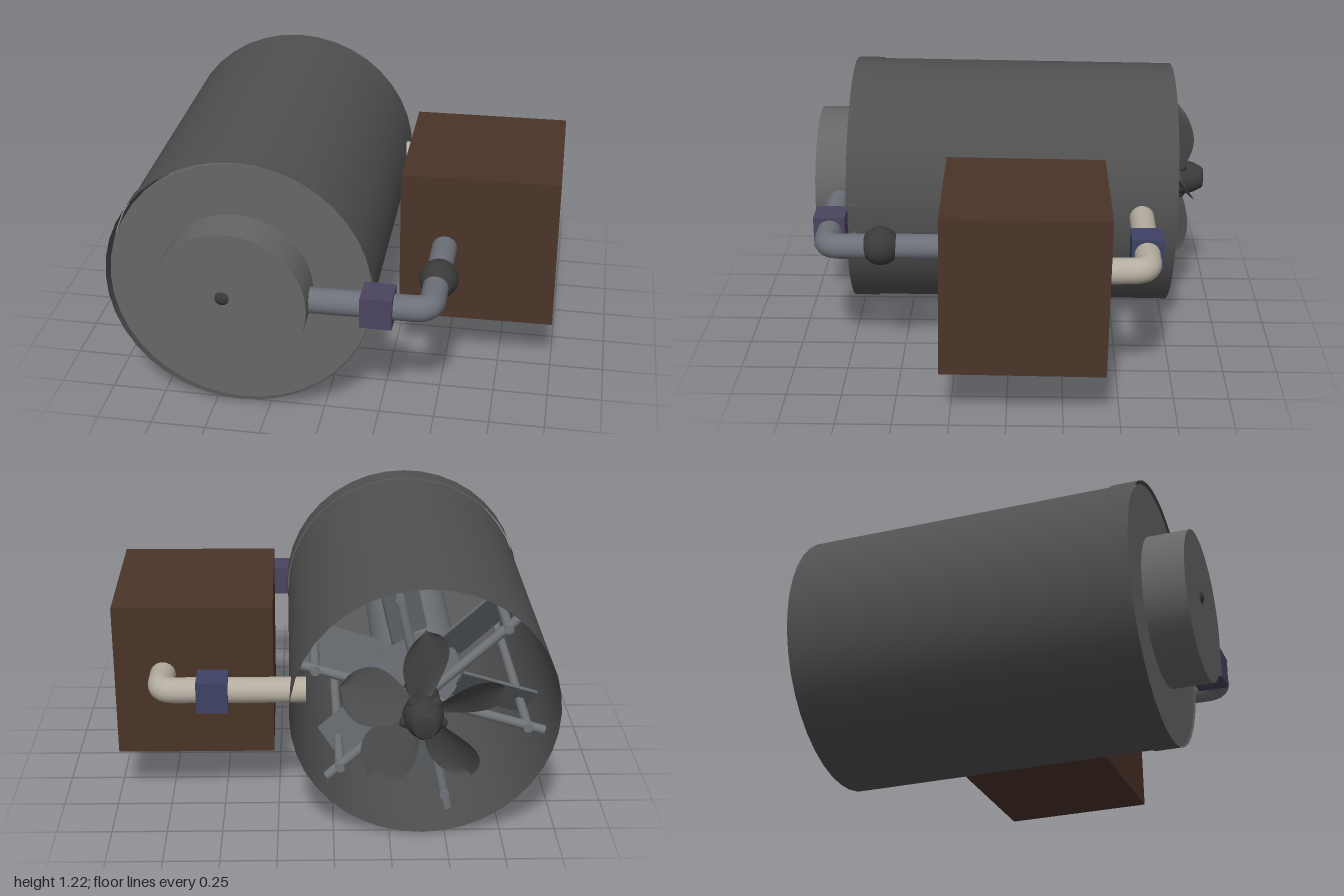
import * as THREE from 'three';

const paint = (color, double) => new THREE.MeshStandardMaterial({
  color, side: double ? THREE.DoubleSide : THREE.FrontSide });
const STEEL = paint(0x505050, true), PLATE = paint(0x666666), DARK = paint(0x3a3a3a);
const BLADE = paint(0x4a4a4a, true), ROD = paint(0x707478), VANE = paint(0x5e6468, true);

function add(parent, name, geometry, material, x = 0, y = 0, z = 0) {
  const mesh = new THREE.Mesh(geometry, material);
  mesh.name = name;
  mesh.position.set(x, y, z);
  parent.add(mesh);
  return mesh;
}

// cylinder lying along z, between z0 and z1
const drum = (r, z0, z1, open = false, sides = 32) =>
  new THREE.CylinderGeometry(r, r, z1 - z0, sides, 1, open)
    .rotateX(Math.PI / 2).translate(0, 0, (z0 + z1) / 2);

// round pipe with one rounded right-angle elbow
function pipe(parent, name, material, start, corner, end) {
  const [a, c, b] = [start, corner, end].map((p) => new THREE.Vector3(...p));
  const toward = (p) => c.clone().add(p.clone().sub(c).setLength(0.075));
  const p = toward(a), q = toward(b);
  add(parent, name, new THREE.TubeGeometry(new THREE.LineCurve3(a, p), 1, 0.058, 20), material);
  add(parent, name + 'Elbow', new THREE.TubeGeometry(
    new THREE.QuadraticBezierCurve3(p, c, q), 10, 0.058, 20), material);
  add(parent, name + 'End', new THREE.TubeGeometry(new THREE.LineCurve3(q, b), 1, 0.058, 20), material);
}

// oval blade along +x, pitched about its length and slightly cupped
function bladeGeometry() {
  const geo = new THREE.PlaneGeometry(1, 1, 14, 8);
  const pos = geo.attributes.position;
  for (let i = 0; i < pos.count; i++) {
    const t = pos.getX(i) + 0.5, v = pos.getY(i) * 2;
    const half = 0.035 * (1 - t) + 0.115 * Math.pow(Math.sin(Math.PI * Math.pow(t, 1.35)), 0.6);
    const pitch = 0.8 - 0.3 * t, w = v * half, cup = 0.02 * (1 - v * v);
    pos.setXYZ(i, 0.05 + 0.335 * t,
      w * Math.cos(pitch) - cup * Math.sin(pitch),
      w * Math.sin(pitch) + cup * Math.cos(pitch));
  }
  geo.computeVertexNormals();
  return geo;
}

function propeller() {
  const group = new THREE.Group();
  group.name = 'propeller';
  const profile = [[0, -0.06], [0.075, -0.06], [0.09, -0.03], [0.088, 0.01], [0.075, 0.06],
    [0.055, 0.1], [0.048, 0.108], [0, 0.11]].map(([r, h]) => new THREE.Vector2(r, h));
  add(group, 'hub', new THREE.LatheGeometry(profile, 24).rotateX(-Math.PI / 2), DARK);
  const blade = bladeGeometry();
  for (let i = 0; i < 5; i++) {
    const a = (92 + 72 * i) * Math.PI / 180;
    add(group, 'blade', blade, BLADE, 0, 0, 0.035).rotation.z = a;
    const b = a + Math.PI / 5;
    add(group, 'hubBolt', new THREE.SphereGeometry(0.025, 12, 8), DARK,
      0.085 * Math.cos(b), 0.085 * Math.sin(b), 0);
  }
  return group;
}

function casing() {
  const group = new THREE.Group();
  group.name = 'casing';
  add(group, 'shell', drum(0.594, -0.78, 0.66, true, 40), STEEL);
  add(group, 'frontBand', drum(0.6, 0.655, 0.775, true, 40), STEEL);
  add(group, 'frontPlate', drum(0.59, 0.73, 0.765, false, 40), PLATE, 0.01);
  add(group, 'frontCan', drum(0.343, 0.76, 0.952, false, 40), PLATE, -0.006, 0.004);
  add(group, 'knob', new THREE.SphereGeometry(0.047, 20, 14), DARK, -0.03, 0.036, 0.918);

  // inner drive and the frame that holds it
  add(group, 'motor', drum(0.2, -0.35, 0.73, false, 24), ROD);
  add(group, 'shaft', drum(0.04, -0.82, -0.3, false, 16), ROD, 0.01, 0.02);
  add(group, 'bearing', drum(0.08, -0.66, -0.56, false, 16), DARK, 0.005, 0.01);
  for (let i = 0; i < 6; i++) {
    const arm = new THREE.Group();
    arm.name = 'frameArm';
    arm.rotation.z = i * Math.PI / 3 + 0.3;
    group.add(arm);
    add(arm, 'spoke', new THREE.CylinderGeometry(0.022, 0.022, 0.52, 10)
      .rotateZ(Math.PI / 2), ROD, 0.32, 0, -0.61);
    add(arm, 'longRod', drum(0.022, -0.64, 0.73, false, 10), ROD, 0.5);
    add(arm, 'vane', new THREE.BoxGeometry(0.36, 0.2, 0.015), VANE, 0.37, 0, -0.35).rotation.x = 0.6;
  }
  const prop = propeller();
  prop.position.set(0.016, 0.03, -0.85);
  group.add(prop);
  return group;
}

export function createModel() {
  const model = new THREE.Group();
  model.name = 'model';

  const body = casing();
  body.position.set(-0.39, 0.617, 0);
  body.rotation.set(-0.016, 0.013, 0);
  model.add(body);

  // side box
  add(model, 'sideBox', new THREE.BoxGeometry(0.72, 0.725, 0.725), paint(0x4a3428),
    0.632, 0.617, -0.075).rotation.set(-0.016, 0.01, 0.004);

  // front pipe with clamp and ball joint
  pipe(model, 'frontPipe', paint(0x6c7078, true),
    [-0.1, 0.625, 0.83], [0.482, 0.628, 0.83], [0.482, 0.63, 0.25]);
  add(model, 'frontClamp', new THREE.BoxGeometry(0.14, 0.145, 0.145), paint(0x4a4460), 0.253, 0.625, 0.832);
  add(model, 'ballJoint', new THREE.SphereGeometry(0.088, 24, 16), DARK, 0.488, 0.635, 0.577);

  // rear pipe with clamp
  pipe(model, 'rearPipe', paint(0xb4ada0, true),
    [0.12, 0.655, -0.62], [0.768, 0.655, -0.62], [0.768, 0.65, -0.4]);
  add(model, 'rearClamp', new THREE.BoxGeometry(0.14, 0.145, 0.145), paint(0x3e4264), 0.533, 0.65, -0.623);
  return model;
}
